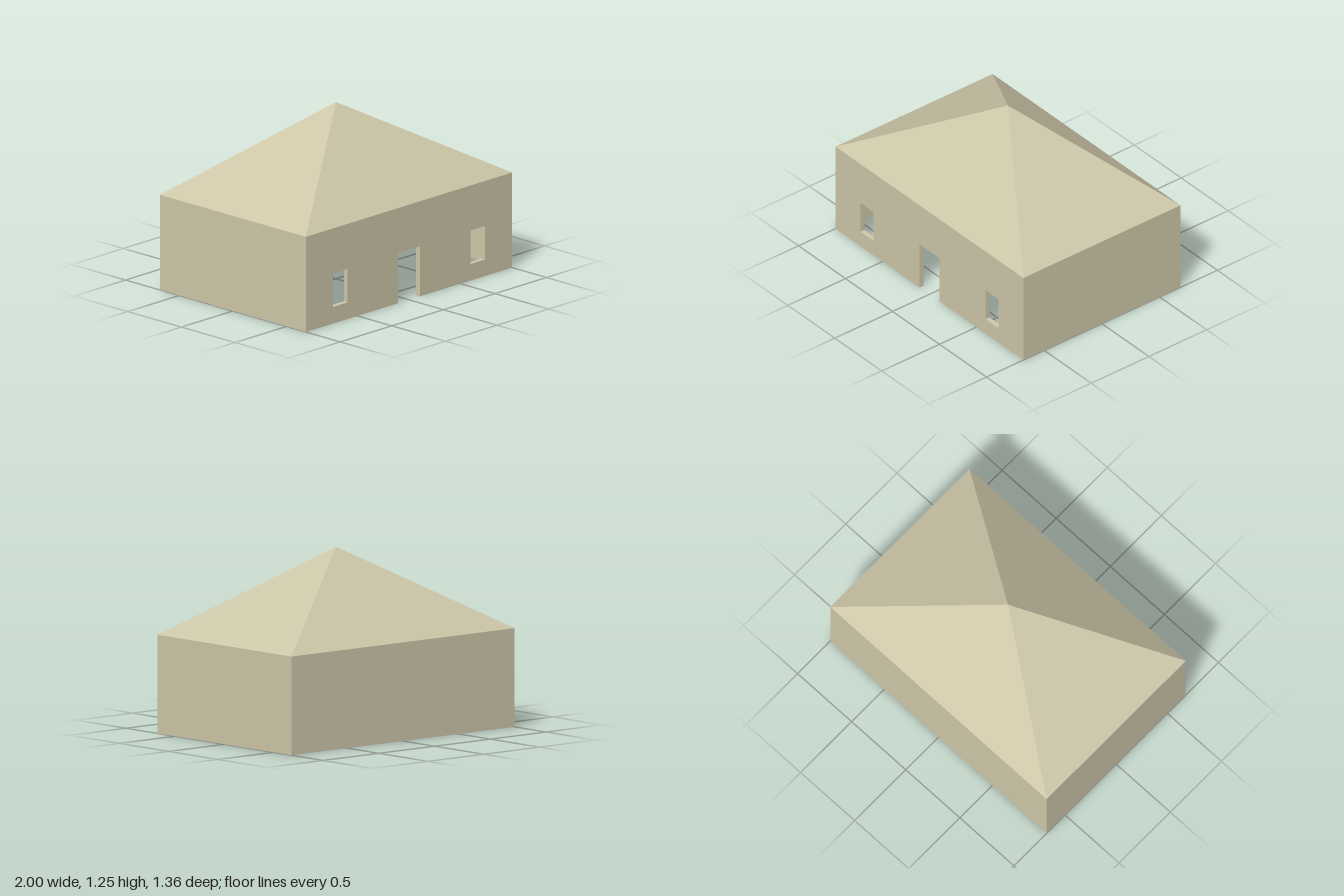
import * as THREE from 'three';

const HALF_X = 1, HALF_Z = 0.68;   // footprint
const EAVE = 0.67, APEX = 1.245;   // heights
const WALL = 0.035;                // wall thickness

export function createModel() {
  const house = new THREE.Group();
  house.name = 'house';
  const material = new THREE.MeshStandardMaterial({ color: 0xcdc6a8, flatShading: true });

  const add = (name, geometry, x, y, z) => {
    const mesh = new THREE.Mesh(geometry, material);
    mesh.name = name;
    mesh.position.set(x, y, z);
    house.add(mesh);
  };

  // Front wall: outline notched for the doorway, with two window holes
  const doorX = 0.105, doorTop = 0.353;
  const outline = new THREE.Shape([
    [-HALF_X, 0], [-doorX, 0], [-doorX, doorTop], [doorX, doorTop],
    [doorX, 0], [HALF_X, 0], [HALF_X, EAVE], [-HALF_X, EAVE],
  ].map(([x, y]) => new THREE.Vector2(x, y)));
  const winW = 0.14, winBottom = 0.117, winTop = 0.353;
  for (const cx of [-0.666, 0.666]) {
    outline.holes.push(new THREE.Path([
      [cx - winW / 2, winBottom], [cx - winW / 2, winTop],
      [cx + winW / 2, winTop], [cx + winW / 2, winBottom],
    ].map(([x, y]) => new THREE.Vector2(x, y))));
  }
  add('frontWall', new THREE.ExtrudeGeometry(outline, { depth: WALL, bevelEnabled: false }),
    0, 0, HALF_Z - WALL);

  // Plain back wall and side walls
  add('backWall', new THREE.BoxGeometry(2 * HALF_X, EAVE, WALL), 0, EAVE / 2, -HALF_Z + WALL / 2);
  for (const [name, side] of [['leftWall', 1], ['rightWall', -1]]) {
    add(name, new THREE.BoxGeometry(WALL, EAVE, 2 * (HALF_Z - WALL)),
      side * (HALF_X - WALL / 2), EAVE / 2, 0);
  }

  // Pyramid roof; its flat base is the ceiling
  const roof = new THREE.ConeGeometry(Math.SQRT2, APEX - EAVE, 4);
  roof.rotateY(Math.PI / 4);
  roof.scale(HALF_X, 1, HALF_Z);
  add('roof', roof, 0, (EAVE + APEX) / 2, 0);

  return house;
}
